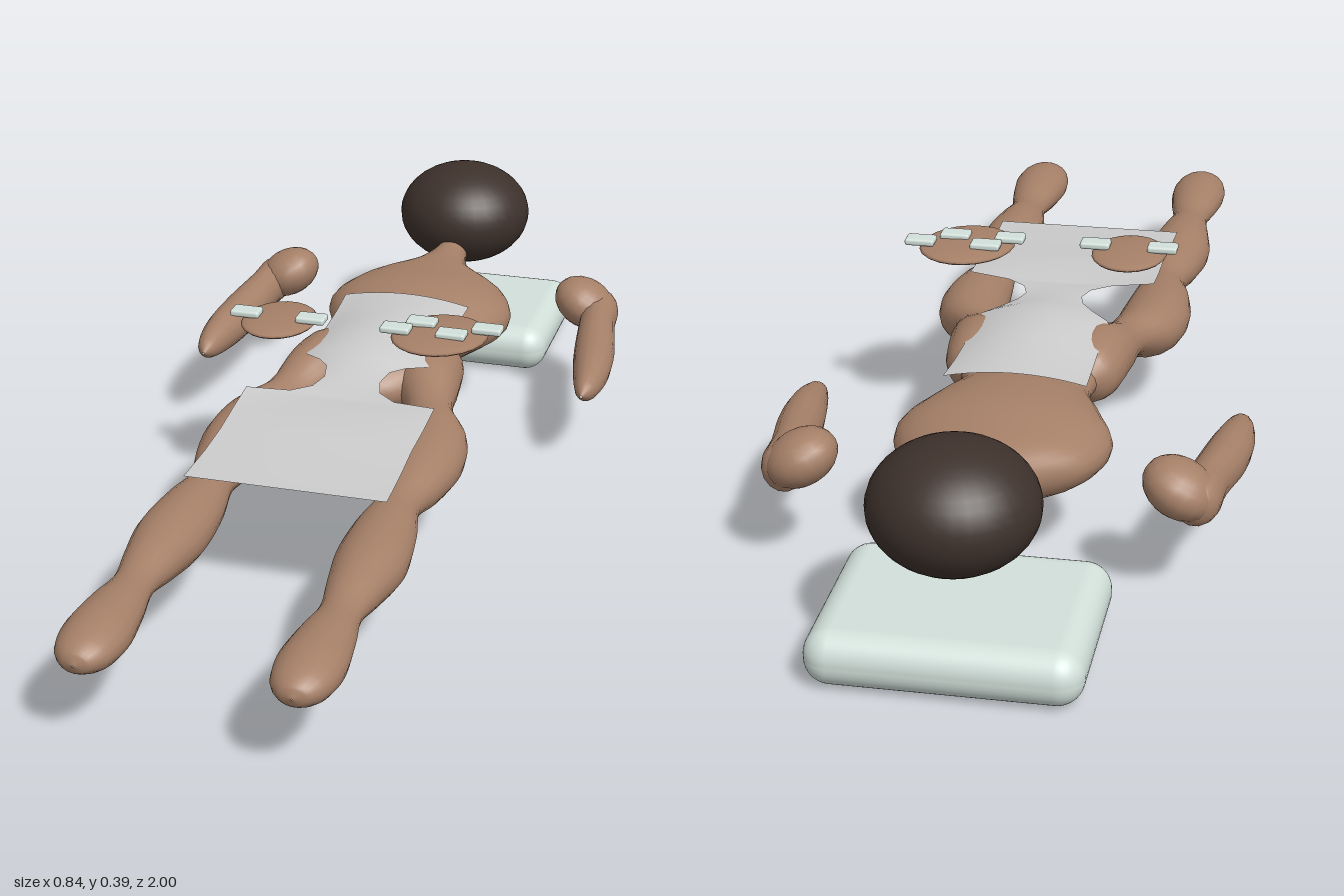
import * as THREE from 'three';
import { RoundedBoxGeometry } from 'three/addons/geometries/RoundedBoxGeometry.js';

const mat = (color, side = THREE.FrontSide) => new THREE.MeshStandardMaterial({ color, side });
const skin = mat(0xa68068), hair = mat(0x3d312b), pale = mat(0xd2e0da);
const cloth = mat(0xcccccc, THREE.DoubleSide);

// Smooth body volume: elliptical sections [x, y, z, rx, ry] stacked along z
function loft(sections, sides = 18, steps = 5) {
  const centres = new THREE.CatmullRomCurve3(sections.map(([x, y, z]) => new THREE.Vector3(x, y, z)));
  const radii = new THREE.CatmullRomCurve3(sections.map(([, , z, rx, ry]) => new THREE.Vector3(rx, ry, z)));
  const n = (sections.length - 1) * steps, pos = [], idx = [];
  for (let i = 0; i <= n; i++) {
    const c = centres.getPoint(i / n), r = radii.getPoint(i / n);
    for (let j = 0; j < sides; j++) {
      const a = j / sides * Math.PI * 2;
      pos.push(c.x + Math.max(r.x, 0.001) * Math.cos(a), c.y + Math.max(r.y, 0.001) * Math.sin(a), c.z);
      if (i < n) {
        const k = (j + 1) % sides, p = i * sides, q = p + sides;
        idx.push(p + j, p + k, q + k, p + j, q + k, q + j);
      }
    }
  }
  const g = new THREE.BufferGeometry();
  g.setAttribute('position', new THREE.Float32BufferAttribute(pos, 3));
  g.setIndex(idx);
  g.computeVertexNormals();
  return g;
}

// Draped sheet: rows [z, half width, centre height, edge height]
function sheet(rows, cols = 12) {
  const g = new THREE.PlaneGeometry(1, 1, cols, rows.length - 1);
  g.rotateX(-Math.PI / 2);
  const p = g.attributes.position;
  for (let i = 0; i < p.count; i++) {
    const [z, w, yc, ye] = rows[Math.floor(i / (cols + 1))];
    const u = p.getX(i) * 2;
    p.setXYZ(i, u * w, yc + (ye - yc) * u * u, z);
  }
  g.computeVertexNormals();
  return g;
}

export function createModel() {
  const model = new THREE.Group();
  const add = (name, geometry, material, x = 0, y = 0, z = 0, parent = model) => {
    const m = new THREE.Mesh(geometry, material);
    m.name = name;
    m.position.set(x, y, z);
    parent.add(m);
    return m;
  };

  add('pillow', new RoundedBoxGeometry(0.45, 0.096, 0.355, 5, 0.045), pale, 0, 0.048, -0.822);
  add('head', new THREE.SphereGeometry(1, 32, 20), hair, 0, 0.28, -0.86).scale.set(0.14, 0.107, 0.14);

  // Neck, chest, waist and pelvis
  add('torso', loft([
    [0, 0.23, -0.8, 0.03, 0.03], [0, 0.22, -0.72, 0.036, 0.036], [0, 0.21, -0.64, 0.07, 0.05],
    [0, 0.2, -0.56, 0.16, 0.066], [0, 0.197, -0.46, 0.19, 0.077], [0, 0.198, -0.36, 0.155, 0.07],
    [0, 0.2, -0.27, 0.12, 0.054], [0, 0.205, -0.19, 0.13, 0.058], [0, 0.205, -0.1, 0.12, 0.062],
    [0, 0.2, -0.03, 0.06, 0.035], [0, 0.2, 0, 0.001, 0.001],
  ], 28), skin);

  // Hip, thigh, calf and foot
  const leg = loft([
    [0.1, 0.205, -0.24, 0.002, 0.002], [0.105, 0.205, -0.2, 0.05, 0.05], [0.11, 0.205, -0.1, 0.064, 0.06],
    [0.14, 0.195, 0, 0.045, 0.038], [0.17, 0.178, 0.08, 0.062, 0.052], [0.18, 0.172, 0.17, 0.066, 0.053],
    [0.178, 0.17, 0.27, 0.055, 0.044], [0.172, 0.17, 0.35, 0.041, 0.034], [0.174, 0.165, 0.44, 0.056, 0.044],
    [0.178, 0.16, 0.55, 0.063, 0.051], [0.178, 0.162, 0.65, 0.049, 0.041], [0.178, 0.163, 0.73, 0.037, 0.028],
    [0.178, 0.162, 0.81, 0.049, 0.036], [0.178, 0.16, 0.9, 0.057, 0.041], [0.178, 0.16, 0.96, 0.046, 0.032],
    [0.178, 0.16, 0.987, 0.025, 0.018], [0.178, 0.16, 0.995, 0.001, 0.001],
  ]);
  // Forearm ending in a tapered wrist
  const forearm = loft([
    [0.345, 0.19, -0.645, 0.002, 0.002], [0.35, 0.186, -0.62, 0.036, 0.04], [0.36, 0.18, -0.53, 0.037, 0.042],
    [0.376, 0.168, -0.42, 0.041, 0.042], [0.386, 0.162, -0.33, 0.036, 0.038],
    [0.39, 0.158, -0.25, 0.02, 0.022], [0.388, 0.158, -0.22, 0.002, 0.002],
  ], 14);
  for (const [side, s] of [['left', 1], ['right', -1]]) {
    const limbs = new THREE.Group();
    limbs.name = side + 'Limbs';
    limbs.scale.x = s;
    model.add(limbs);
    add(side + 'Leg', leg, skin, 0, 0, 0, limbs);
    add(side + 'Forearm', forearm, skin, 0, 0, 0, limbs);
    const upper = add(side + 'UpperArm', new THREE.SphereGeometry(1, 18, 12), skin, 0.322, 0.202, -0.595, limbs);
    upper.scale.set(0.066, 0.048, 0.064);
    upper.rotation.z = -0.5;
  }

  // Cloth over belly and thighs, pinched between the hands
  add('cloth', sheet([
    [-0.36, 0.128, 0.277, 0.262], [-0.28, 0.125, 0.28, 0.256], [-0.2, 0.123, 0.287, 0.254],
    [-0.12, 0.124, 0.289, 0.255], [-0.06, 0.12, 0.282, 0.256], [-0.03, 0.085, 0.276, 0.262],
    [0.0, 0.062, 0.27, 0.264], [0.04, 0.054, 0.263, 0.26], [0.08, 0.065, 0.257, 0.257],
    [0.11, 0.1, 0.253, 0.256], [0.125, 0.18, 0.251, 0.26], [0.2, 0.18, 0.257, 0.252],
    [0.28, 0.178, 0.25, 0.245], [0.36, 0.18, 0.241, 0.238], [0.465, 0.183, 0.236, 0.236],
  ]), cloth);

  // Flat hovering palms with small pale plates on top
  const palm = new THREE.SphereGeometry(1, 22, 10);
  const plate = new RoundedBoxGeometry(0.056, 0.013, 0.036, 2, 0.005);
  const hands = [
    ['right', -0.145, 0.028, 0.07, 0.09, 0, [[-0.207, 0.035], [-0.08, 0.035]]],
    ['left', 0.162, 0.018, 0.088, 0.1, -0.25, [[0.083, 0.036], [0.122, -0.006], [0.188, 0.036], [0.247, -0.004]]],
  ];
  for (const [side, x, z, rx, rz, turn, plates] of hands) {
    const hand = add(side + 'Palm', palm, skin, x, 0.359, z);
    hand.scale.set(rx, 0.011, rz);
    hand.rotation.y = turn;
    plates.forEach(([px, pz], i) => add(side + 'Plate' + (i + 1), plate, pale, px, 0.372, pz));
  }
  return model;
}
